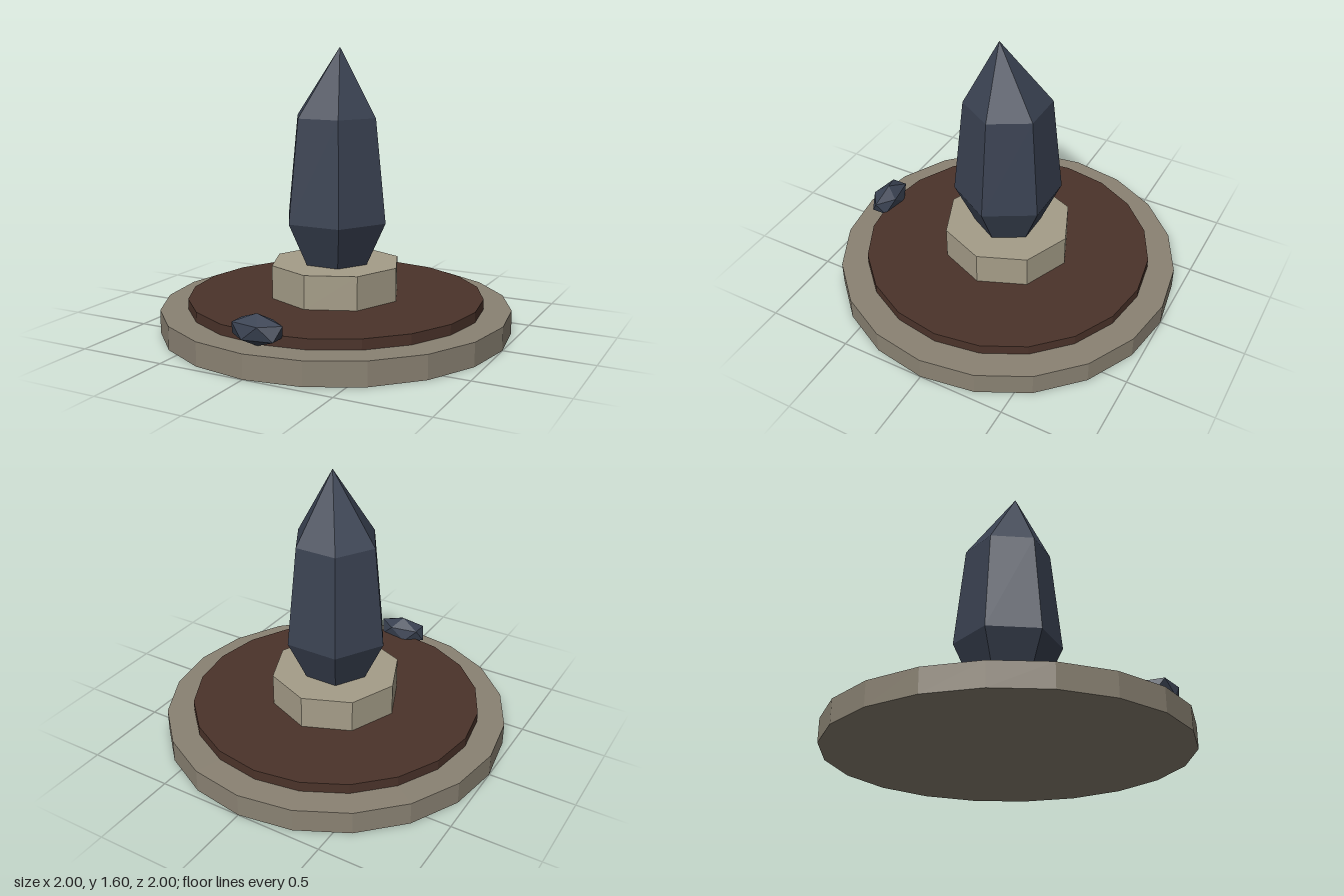
import * as THREE from 'three';

const material = (color) => new THREE.MeshStandardMaterial({ color, flatShading: true });

function addMesh(group, name, geometry, mat) {
  const mesh = new THREE.Mesh(geometry, mat);
  mesh.name = name;
  group.add(mesh);
  return mesh;
}

// Flat-sided disc between two heights
function disc(radius, y0, y1, sides) {
  return new THREE.CylinderGeometry(radius, radius, y1 - y0, sides).translate(0, (y0 + y1) / 2, 0);
}

// Six-sided crystal from rings [radius, y], closed below, with an off-centre tip
function crystalGeometry(rings, tip) {
  const sides = 6;
  const positions = [];
  const corner = ([r, y], i) => {
    const a = (i / sides) * Math.PI * 2;
    return [r * Math.cos(a), y, -r * Math.sin(a)];
  };
  const tri = (a, b, c) => positions.push(...a, ...b, ...c);
  const first = rings[0];
  const last = rings[rings.length - 1];
  for (let i = 0; i < sides; i++) {
    for (let k = 0; k < rings.length - 1; k++) {
      const a = corner(rings[k], i), b = corner(rings[k], i + 1);
      const c = corner(rings[k + 1], i + 1), d = corner(rings[k + 1], i);
      tri(a, b, c);
      tri(a, c, d);
    }
    tri(corner(last, i), corner(last, i + 1), tip);
    tri(corner(first, i + 1), corner(first, i), [0, first[1], 0]);
  }
  const geometry = new THREE.BufferGeometry();
  geometry.setAttribute('position', new THREE.Float32BufferAttribute(positions, 3));
  geometry.computeVertexNormals();
  return geometry;
}

export function createModel() {
  const model = new THREE.Group();
  model.name = 'crystalMonument';
  const crystalMaterial = material(0x3a4252);

  // Stepped round base
  addMesh(model, 'stoneBase', disc(1, 0, 0.132, 20), material(0x8a8273));
  addMesh(model, 'soilDisc', disc(0.843, 0.132, 0.19, 20), material(0x4b332a));
  addMesh(model, 'pedestal', disc(0.377, 0.19, 0.38, 8), material(0xa59d88));

  // Standing crystal
  const rings = [[0.195, 0.38], [0.31, 0.626], [0.247, 1.21]];
  addMesh(model, 'crystal', crystalGeometry(rings, [0.04, 1.597, 0.03]), crystalMaterial);

  // Small shard on the rim: a point-up icosahedron, stretched sideways
  const shard = new THREE.IcosahedronGeometry(1, 0)
    .rotateZ(-Math.atan2(2, 1 + Math.sqrt(5)))
    .scale(0.166, 0.085, 0.091);
  addMesh(model, 'shard', shard, crystalMaterial).position.set(0, 0.215, 0.858);

  return model;
}
